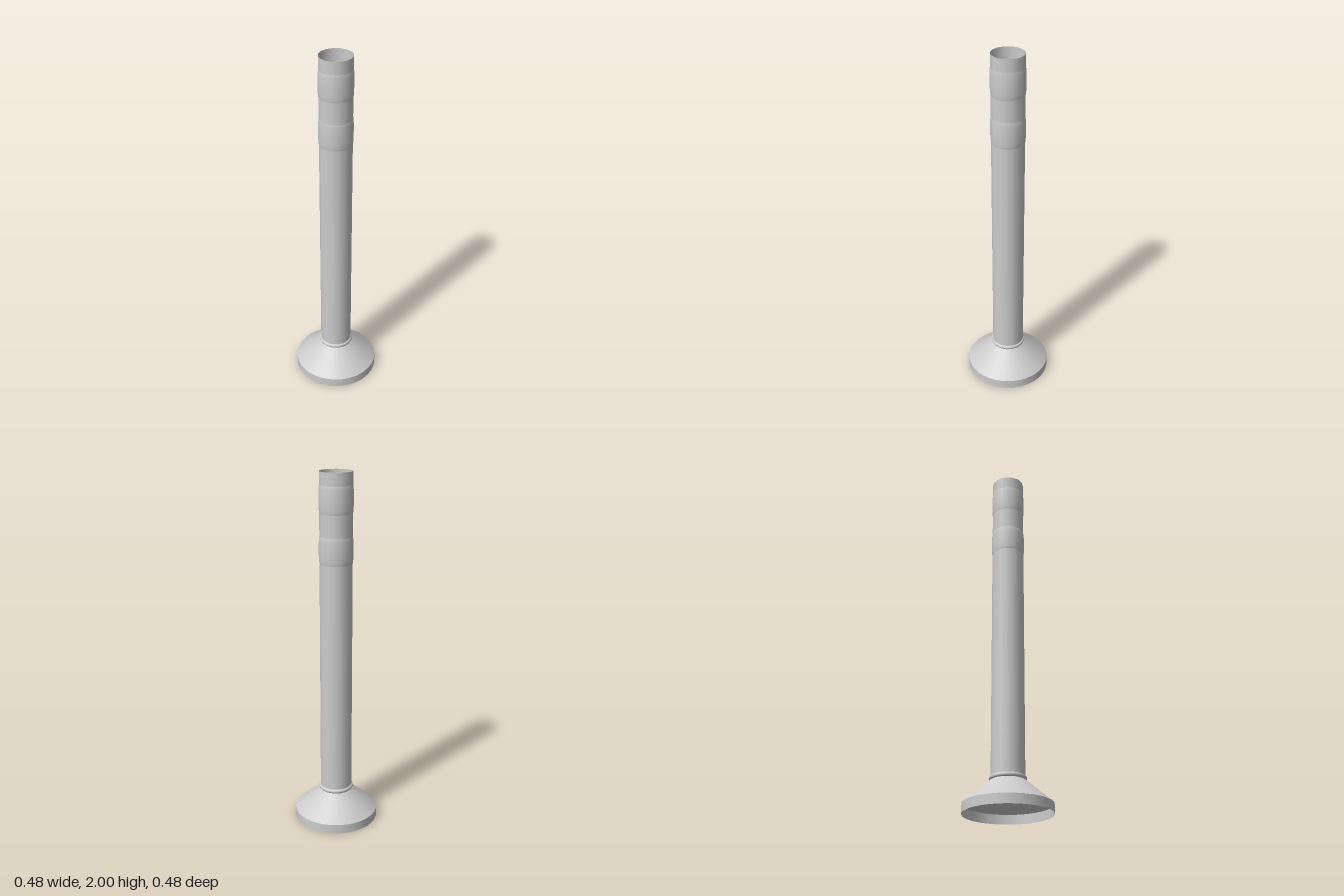
import * as THREE from 'three';

export function createModel() {
  const model = new THREE.Group();
  const metal = new THREE.MeshStandardMaterial({ color: 0xcccccc, side: THREE.DoubleSide });
  metal.name = 'light grey metal';

  // Turned part from [radius, height] pairs, listed bottom to top
  function turned(name, profile, sides, start = 0) {
    const points = profile.map(([r, y]) => new THREE.Vector2(r, y));
    const mesh = new THREE.Mesh(new THREE.LatheGeometry(points, sides, start), metal);
    mesh.name = name;
    model.add(mesh);
  }

  // Rounded ring swelling out of the shaft
  function ring(name, y, halfHeight, inner, outer) {
    const profile = [];
    for (let i = 0; i <= 8; i++) {
      const a = -Math.PI / 2 + (i / 8) * Math.PI;
      profile.push([inner + (outer - inner) * Math.cos(a), y + halfHeight * Math.sin(a)]);
    }
    turned(name, profile, 16, Math.PI / 16);
  }

  // Flared foot, open underneath
  turned('footRim', [[0.238, 0], [0.238, 0.052]], 32);
  turned('footCone', [[0.238, 0.052], [0.092, 0.175]], 32);

  // Hollow shaft, open at both ends
  turned('shaft', [[0.09, 0.175], [0.09, 2]], 16, Math.PI / 16);

  // Collar at the foot and two gentle swellings near the top
  ring('collar', 0.186, 0.012, 0.09, 0.0995);
  ring('upperBand', 1.855, 0.075, 0.0895, 0.094);
  ring('lowerBand', 1.585, 0.075, 0.0895, 0.094);

  return model;
}
